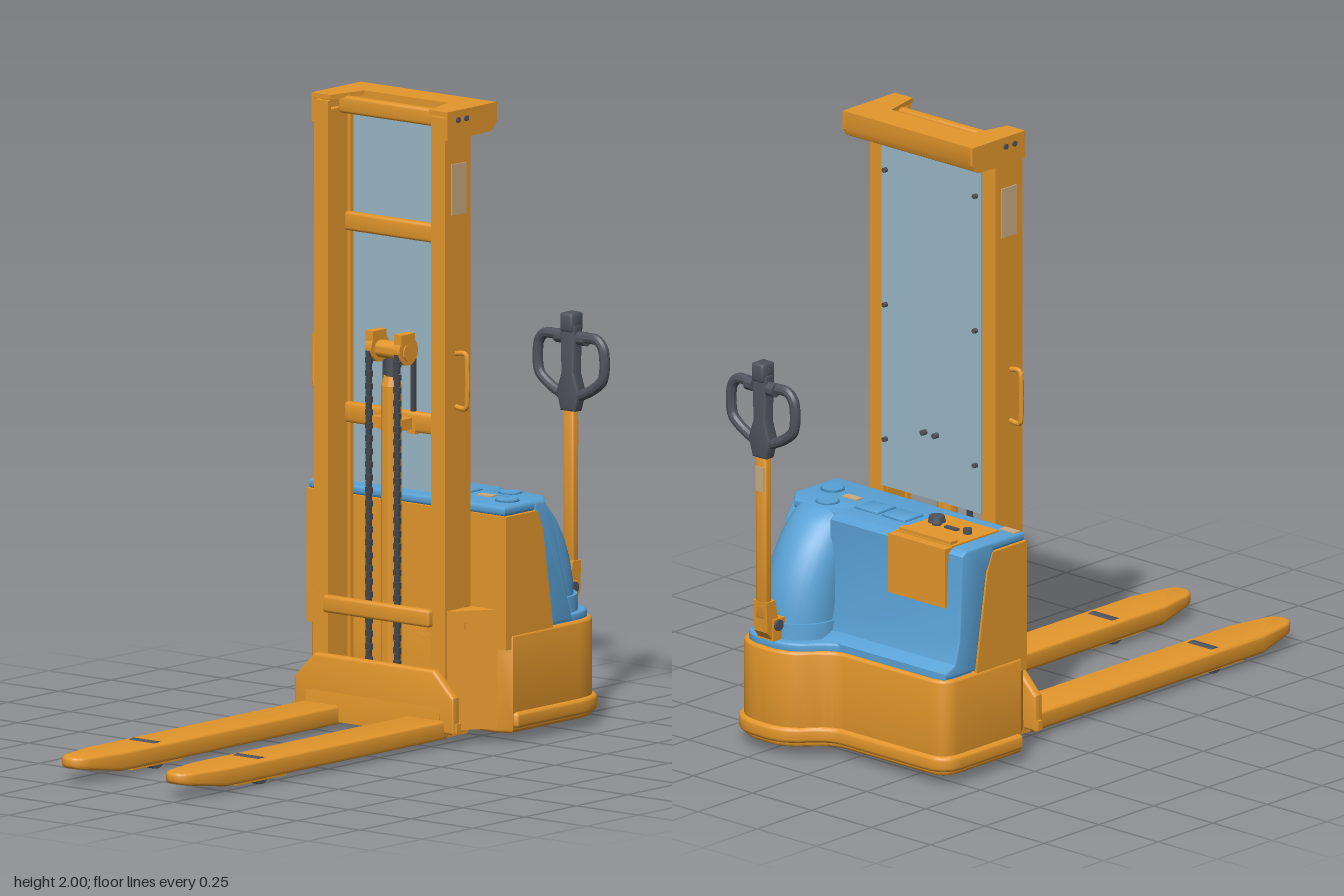
import * as THREE from 'three';
import { toCreasedNormals } from 'three/addons/utils/BufferGeometryUtils.js';
import { RoundedBoxGeometry } from 'three/addons/geometries/RoundedBoxGeometry.js';

const paint = (name, color) => Object.assign(new THREE.MeshStandardMaterial({ color }), { name });

export function createModel() {
  const root = new THREE.Group();
  root.name = 'palletStacker';
  const orange = paint('orange', 0xe2962b), blue = paint('blue', 0x5aa2d6), dark = paint('darkGrey', 0x50535c);
  const chainMat = paint('chainGrey', 0x43464c), glass = paint('paleGlass', 0x9ab7c5), label = paint('label', 0xcaab82);
  const navy = paint('recessBlue', 0x3f86b8);

  const add = (name, geo, mat, x = 0, y = 0, z = 0) => {
    const m = new THREE.Mesh(toCreasedNormals(geo, 0.6), mat);
    m.name = name;
    m.position.set(x, y, z);
    root.add(m);
    return m;
  };
  // box given by its limits on each axis
  const box = (name, mat, x0, x1, y0, y1, z0, z1) =>
    add(name, new THREE.BoxGeometry(x1 - x0, y1 - y0, z1 - z0), mat, (x0 + x1) / 2, (y0 + y1) / 2, (z0 + z1) / 2);
  const cylX = (name, mat, r, w, x, y, z) => add(name, new THREE.CylinderGeometry(r, r, w, 24).rotateZ(Math.PI / 2), mat, x, y, z);
  const cylY = (name, mat, r, y0, y1, x, z, r2 = r) => add(name, new THREE.CylinderGeometry(r2, r, y1 - y0, 24), mat, x, (y0 + y1) / 2, z);
  const poly = pts => new THREE.Shape(pts.map(p => new THREE.Vector2(...p)));
  const extrude = (shape, depth, bevel = 0) => new THREE.ExtrudeGeometry(shape, {
    depth: depth - 2 * bevel, bevelEnabled: bevel > 0, bevelSize: bevel, bevelThickness: bevel, bevelOffset: -bevel, bevelSegments: 3, curveSegments: 10,
  }).translate(0, 0, bevel);
  // plan shape (x, -z) raised from y0 to y1
  const slab = (name, mat, shape, y0, y1, bevel) => add(name, extrude(shape, y1 - y0, bevel).rotateX(-Math.PI / 2), mat, 0, y0, 0);
  // side profile (-z, y) run from x0 to x1
  const run = (name, mat, shape, x0, x1, bevel) => add(name, extrude(shape, x1 - x0, bevel).rotateY(Math.PI / 2), mat, x0, 0, 0);
  const tube = (name, mat, pts, r) =>
    add(name, new THREE.TubeGeometry(new THREE.CatmullRomCurve3(pts.map(p => new THREE.Vector3(...p)), false, 'catmullrom', 0.4), 40, r, 10), mat);

  // Chassis outline with the rounded lobe under the tiller
  const plan = (o, front = 0.43) => {
    const s = new THREE.Shape();
    s.moveTo(-0.36, front);
    s.lineTo(0.36, front);
    s.lineTo(0.4 + o, front + 0.03);
    s.lineTo(0.4 + o, 0.78);
    s.quadraticCurveTo(0.395 + o, 0.92 + o, 0.27, 0.92 + o);
    s.quadraticCurveTo(0.17, 0.93 + o, 0.12, 0.87 + o);
    s.quadraticCurveTo(0.07, 0.805 + o, 0.02, 0.805 + o);
    s.lineTo(-0.33, 0.805 + o);
    s.quadraticCurveTo(-0.4 - o, 0.805 + o, -0.4 - o, 0.74);
    s.lineTo(-0.4 - o, front + 0.03);
    return s;
  };
  slab('chassis', orange, plan(0.005), 0.035, 0.345, 0.01);
  slab('bumper', orange, plan(0.02, 0.44), 0.05, 0.1, 0.012);
  slab('coverLedge', blue, plan(-0.01, 0.64), 0.335, 0.37, 0.008);
  run('bodyShell', orange, poly([[0.43, 0.3], [0.43, 0.72], [0.585, 0.72], [0.61, 0.66], [0.66, 0.34], [0.66, 0.3]]), -0.402, 0.402);

  // Blue cover: lid, wide rear part and the slanted part beside the tiller
  slab('coverLid', blue, poly([[-0.395, 0.435], [0.395, 0.435], [0.395, 0.63], [0.35, 0.68], [-0.395, 0.7]]), 0.72, 0.75, 0.008);
  run('coverRear', blue, poly([[0.575, 0.72], [0.58, 0.75], [0.7, 0.75], [0.722, 0.735], [0.735, 0.46], [0.755, 0.39], [0.8, 0.37], [0.8, 0.35], [0.66, 0.35], [0.61, 0.66]]), -0.398, 0.16, 0.006);
  run('coverSide', blue, poly([[0.575, 0.72], [0.58, 0.748], [0.62, 0.745], [0.665, 0.68], [0.71, 0.52], [0.74, 0.41], [0.76, 0.35], [0.66, 0.35], [0.61, 0.66]]), 0.1, 0.398, 0.006);

  // Domed hood in front of the tiller, lofted from D-shaped sections: y, rear depth, half width
  const pos = [], idx = [], N = 18;
  const rings = [[0.36, 0.878, 0.122], [0.45, 0.872, 0.122], [0.53, 0.855, 0.121], [0.6, 0.828, 0.119], [0.66, 0.793, 0.115], [0.71, 0.75, 0.108], [0.742, 0.71, 0.098], [0.752, 0.68, 0.085]];
  for (const [y, back, w] of rings) {
    pos.push(0.25 + w, y, -0.58);
    for (let i = 0; i <= N - 2; i++) {
      const a = Math.PI * i / (N - 2);
      pos.push(0.25 + w * Math.cos(a), y, -(back - w + w * Math.sin(a)));
    }
    pos.push(0.25 - w, y, -0.58);
  }
  const M = N + 1;
  for (let k = 0; k < rings.length - 1; k++) for (let i = 0; i < M; i++) {
    const a = k * M + i, b = k * M + (i + 1) % M;
    idx.push(a, b, b + M, a, b + M, a + M);
  }
  const top = (rings.length - 1) * M;
  for (let i = 1; i < M - 1; i++) idx.push(top, top + i, top + i + 1);
  const hood = new THREE.BufferGeometry();
  hood.setAttribute('position', new THREE.Float32BufferAttribute(pos, 3));
  hood.setIndex(idx);
  add('hood', hood, blue);
  cylY('tillerBase', blue, 0.135, 0.36, 0.42, 0.25, -0.755, 0.131);

  // Control panel, knob, trays and cup holders on the lid
  box('panelTop', orange, -0.34, -0.1, 0.747, 0.755, -0.705, -0.49);
  box('panelRear', orange, -0.34, -0.1, 0.56, 0.752, -0.739, -0.7);
  box('panelLatch', orange, -0.33, -0.11, 0.75, 0.765, -0.7, -0.67);
  cylY('knobStem', dark, 0.015, 0.75, 0.77, -0.16, -0.58);
  cylY('stopKnob', dark, 0.028, 0.765, 0.785, -0.16, -0.58, 0.024);
  cylY('keySwitch', dark, 0.014, 0.75, 0.772, -0.29, -0.58);
  box('switchBar', dark, -0.25, -0.2, 0.75, 0.762, -0.59, -0.575);
  for (const x of [-0.015, 0.1]) {
    add('trayRim', new RoundedBoxGeometry(0.1, 0.008, 0.09, 2, 0.004), navy, x, 0.75, -0.58);
    add('tray', new RoundedBoxGeometry(0.09, 0.008, 0.08, 2, 0.004), blue, x, 0.752, -0.58);
  }
  for (const [x, z] of [[0.25, -0.635], [0.325, -0.53]]) {
    cylY('cupRim', navy, 0.038, 0.746, 0.754, x, z);
    cylY('cupFloor', blue, 0.033, 0.747, 0.756, x, z);
  }
  box('lidLabel', label, -0.39, -0.325, 0.747, 0.753, -0.475, -0.445);
  box('lidLabel', label, 0.19, 0.25, 0.747, 0.754, -0.57, -0.54);

  // Drive wheel and caster
  for (const [x, z] of [[0.25, -0.75], [-0.25, -0.62]]) {
    cylX('wheel', dark, 0.073, 0.08, x, 0.079, z);
    cylX('wheelHub', chainMat, 0.03, 0.086, x, 0.079, z);
  }

  // Mast uprights, fork arms and everything mirrored left and right
  for (const s of [-1, 1]) {
    const mbox = (name, mat, x0, x1, ...r) => box(name, mat, Math.min(s * x0, s * x1), Math.max(s * x0, s * x1), ...r);
    mbox('mastWeb', orange, 0.25, 0.264, 0.04, 1.98, -0.425, -0.3);
    mbox('mastFrontFlange', orange, 0.208, 0.262, 0.04, 1.98, -0.315, -0.3);
    mbox('mastRearFlange', orange, 0.208, 0.262, 0.04, 1.98, -0.425, -0.41);
    mbox('innerMast', orange, 0.213, 0.238, 0.06, 1.95, -0.402, -0.322);
    mbox('mastLabel', label, 0.262, 0.268, 1.67, 1.83, -0.4, -0.33);
    run('capArm', orange, poly([[0.3, 1.91], [0.3, 2], [0.54, 2], [0.54, 1.94], [0.51, 1.912]]), s * 0.268 - 0.006, s * 0.268 + 0.006);
    slab('capTop', orange, poly(s > 0 ? [[0.2, 0.3], [0.265, 0.3], [0.272, 0.45], [0.165, 0.45]] : [[-0.265, 0.3], [-0.2, 0.3], [-0.165, 0.45], [-0.272, 0.45]]), 1.985, 2);
    for (const z of [-0.35, -0.39]) cylX('capBolt', dark, 0.009, 0.012, s * 0.274, 1.97, z);
    tube('grabHandle', orange, [[s * 0.255, 1.065, -0.355], [s * 0.295, 1.06, -0.355], [s * 0.308, 1.08, -0.355], [s * 0.308, 1.215, -0.355], [s * 0.295, 1.235, -0.355], [s * 0.255, 1.23, -0.355]], 0.008);
    // angled wing between mast and body
    slab('mastWing', orange, poly([[s * 0.25, 0.31], [s * 0.275, 0.31], [s * 0.37, 0.44], [s * 0.25, 0.44]]), 0.05, 0.425);
    cylX('wingPin', orange, 0.02, 0.03, s * 0.29, 0.38, -0.365);

    // fork with a tapering, lifted tip
    const f = new THREE.Shape();
    f.moveTo(-0.075, 0.29);
    f.lineTo(0.075, 0.29);
    f.lineTo(0.075, -0.78);
    f.lineTo(0.052, -0.91);
    f.quadraticCurveTo(0.04, -0.96, 0, -0.96);
    f.quadraticCurveTo(-0.04, -0.96, -0.052, -0.91);
    f.lineTo(-0.075, -0.78);
    const fork = extrude(f, 0.06, 0.01).rotateX(-Math.PI / 2).translate(s * 0.21, 0.027, 0);
    const p = fork.attributes.position;
    for (let i = 0; i < p.count; i++) if (p.getY(i) < 0.06 && p.getZ(i) > 0.8) p.setY(i, p.getY(i) + (p.getZ(i) - 0.8) * 0.16);
    add('fork', fork, orange);
    mbox('rollerFrame', orange, 0.155, 0.265, 0.018, 0.04, 0.47, 0.71);
    cylX('loadRoller', dark, 0.043, 0.1, s * 0.21, 0.048, 0.585);
    box('forkHeel', orange, s * 0.21 - 0.065, s * 0.21 + 0.065, 0.03, 0.075, -0.4, -0.27);

    // lift chain: links over a pulley
    for (let i = 0; i < 48; i++) {
      const w = i % 2 ? 0.016 : 0.023, y = 0.235 + i * 0.0205;
      add('chainLink', new THREE.BoxGeometry(w, 0.019, 0.012), chainMat, s * 0.057, y, -0.318);
    }
    mbox('chainRear', chainMat, 0.05, 0.064, 0.95, 1.22, -0.402, -0.392);
    cylX('chainPulley', orange, 0.045, 0.026, s * 0.057, 1.215, -0.358);
    mbox('pulleyGuard', orange, 0.042, 0.073, 1.235, 1.27, -0.385, -0.32);
    mbox('chainAnchor', orange, 0.04, 0.074, 0.95, 0.99, -0.42, -0.385);
    for (const y of [1.8, 1.36, 0.92]) add('panelBolt', new THREE.CylinderGeometry(0.008, 0.008, 0.018, 10).rotateX(Math.PI / 2), dark, s * 0.19, y, -0.436);
    add('panelBolt', new THREE.CylinderGeometry(0.009, 0.009, 0.024, 10).rotateX(Math.PI / 2), dark, s * 0.025, 0.98, -0.438);
  }

  // Mast cross members, cap and clear guard
  for (const [y0, y1, z] of [[1.935, 1.99, -0.37], [1.56, 1.62, -0.4], [0.955, 1.02, -0.4], [0.37, 0.425, -0.295]])
    add('crossBar', new RoundedBoxGeometry(0.43, y1 - y0, 0.03, 2, 0.01), orange, 0, (y0 + y1) / 2, z);
  run('capBar', orange, poly([[0.43, 1.915], [0.43, 2], [0.54, 2], [0.54, 1.945], [0.53, 1.922], [0.51, 1.912]]), -0.272, 0.272);
  box('guardPanel', glass, -0.21, 0.21, 0.765, 1.935, -0.432, -0.426);

  // Lift cylinder and crosshead
  cylY('liftCylinder', orange, 0.032, 0.08, 1.1, 0, -0.358);
  cylY('cylinderNeck', orange, 0.032, 1.1, 1.13, 0, -0.358, 0.024);
  cylY('liftRod', dark, 0.018, 1.12, 1.19, 0, -0.358);
  cylX('crosshead', orange, 0.028, 0.15, 0, 1.212, -0.358);
  box('cylinderClamp', orange, -0.06, 0.06, 0.965, 1, -0.4, -0.335);

  // Fork carriage
  const plate = poly([[-0.32, 0.045], [0.32, 0.045], [0.32, 0.16], [0.24, 0.24], [-0.24, 0.24], [-0.32, 0.16]]);
  add('carriage', extrude(plate, 0.035, 0.008), orange, 0, 0, -0.305);
  run('carriageFoot', orange, poly([[0.3, 0.035], [0.265, 0.035], [0.265, 0.09], [0.275, 0.16], [0.3, 0.16]]), -0.27, 0.27);
  box('carriageRail', orange, -0.33, 0.33, 0.05, 0.08, -0.3, -0.28);

  // Tiller arm and handle
  box('tillerBracket', orange, 0.215, 0.285, 0.37, 0.44, -0.92, -0.85);
  run('tillerKnuckle', orange, poly([[0.88, 0.38], [0.905, 0.5], [0.945, 0.5], [0.94, 0.4], [0.92, 0.375]]), 0.222, 0.278);
  cylX('tillerPivot', dark, 0.018, 0.085, 0.25, 0.42, -0.9);
  add('tillerArm', new RoundedBoxGeometry(0.044, 0.56, 0.032, 2, 0.01), orange, 0.25, 0.72, -0.928);
  box('tillerLabel', label, 0.233, 0.267, 0.86, 0.94, -0.947, -0.94);
  const head = poly([[0.222, 0.97], [0.278, 0.97], [0.295, 1.03], [0.275, 1.09], [0.28, 1.24], [0.22, 1.24], [0.225, 1.09], [0.205, 1.03]]);
  add('handleHead', extrude(head, 0.044, 0.008), dark, 0, 0, -0.952);
  add('handleTop', new RoundedBoxGeometry(0.05, 0.06, 0.058, 2, 0.008), dark, 0.25, 1.25, -0.931);
  for (const s of [-1, 1]) {
    const g = (dx, y) => [0.25 + s * dx, y, -0.93];
    tube('handleGrip', dark, [g(0.015, 1.01), g(0.08, 1.04), g(0.125, 1.075), g(0.135, 1.12), g(0.13, 1.175), g(0.105, 1.203), g(0.06, 1.205), g(0.01, 1.2)], 0.017);
    cylX('thumbSwitch', dark, 0.022, 0.03, 0.25 + s * 0.045, 1.2, -0.935);
  }
  return root;
}
